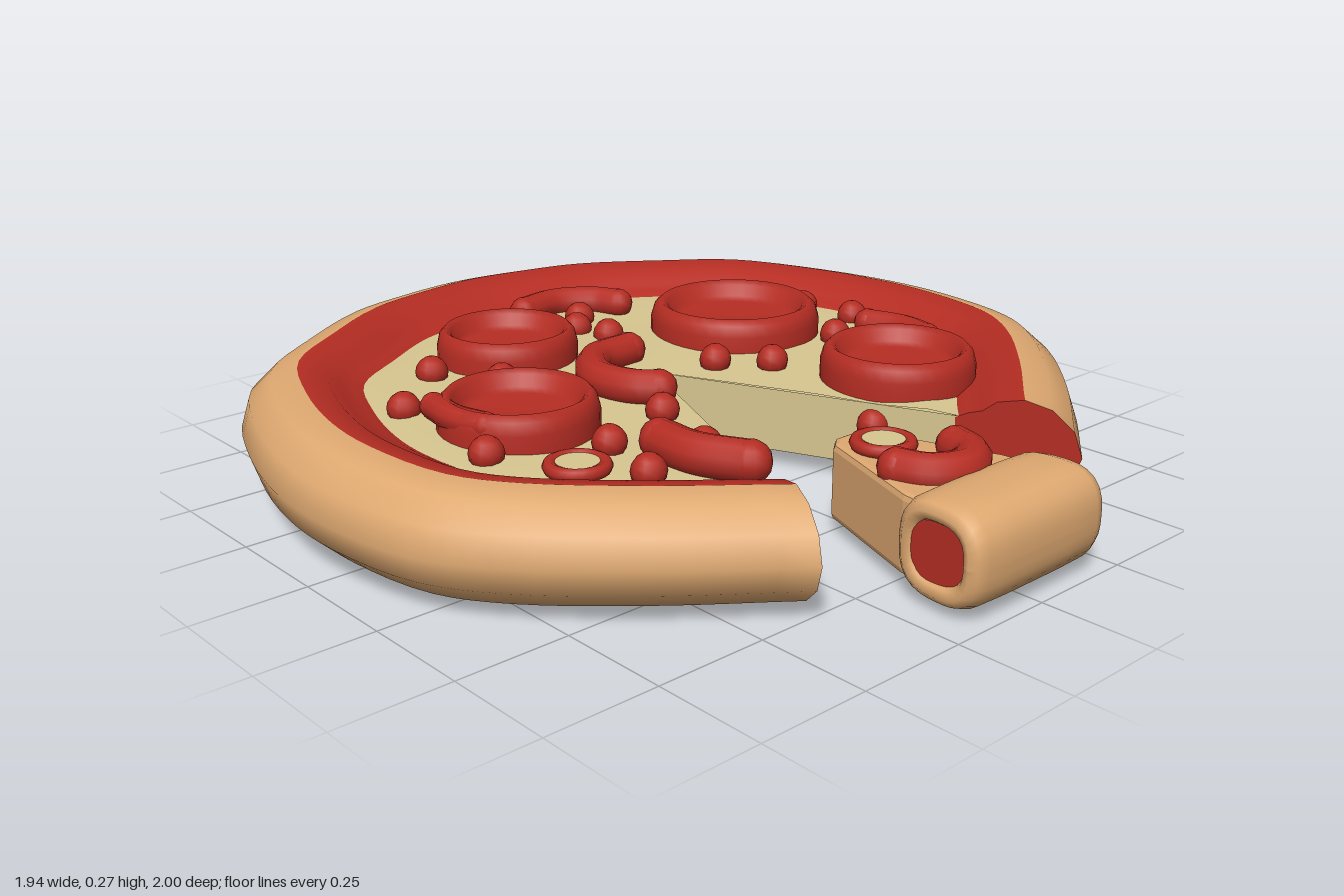
import * as THREE from 'three';

export function createModel() {
  const mat = (name, color) => {
    const m = new THREE.MeshStandardMaterial({ color, side: THREE.DoubleSide });
    m.name = name;
    return m;
  };
  const dough = mat('baked dough', 0xdfa971);
  const red = mat('tomato red', 0xb52d23);
  const cheese = mat('cheese', 0xd8c791);

  const model = new THREE.Group();
  model.name = 'pizza';
  const add = (name, geo, material, parent = model) => {
    const mesh = new THREE.Mesh(geo, material);
    mesh.name = name;
    parent.add(mesh);
    return mesh;
  };
  const group = (name) => {
    const g = new THREE.Group();
    g.name = name;
    model.add(g);
    return g;
  };

  // Outer outline, from the right cut round the back to the left cut
  const half = [[0.4, 0.8], [0.64, 0.61], [0.84, 0.41], [0.93, 0.26], [0.97, 0.02], [0.96, -0.17],
    [0.9, -0.4], [0.79, -0.63], [0.61, -0.78], [0.38, -0.925], [0.2, -0.975]];
  const outline = [...half, [0, -1], ...half.slice().reverse().map(([x, z]) => [-x, z])];
  const apexZ = -0.12;
  const path = new THREE.CatmullRomCurve3(
    outline.map(([x, z]) => new THREE.Vector3(x, 0, z - apexZ)), false, 'centripetal').getPoints(88);

  // Place a profile point: d is the distance in from the outline, towards the wedge tip
  const place = (p, d, y) => {
    const len = p.length();
    const k = Math.max(0, len - d) / len;
    const squash = 0.93 - 0.08 * (p.z + apexZ);
    return [p.x * k, 0.135 + (y - 0.135) * squash, p.z * k + apexZ];
  };

  // Sweep a profile along the outline; slots gives the material of each strip
  const sweep = (profile, slots) => {
    const pos = [], index = [], n = profile.length;
    for (const p of path) for (const [d, y] of profile) pos.push(...place(p, d, y));
    const geo = new THREE.BufferGeometry();
    for (let j = 0; j < n - 1; j++) {
      const start = index.length;
      for (let i = 0; i < path.length - 1; i++) {
        const a = i * n + j, b = a + n;
        index.push(a, b, a + 1, b, b + 1, a + 1);
      }
      geo.addGroup(start, index.length - start, slots ? slots[j] : 0);
    }
    geo.setAttribute('position', new THREE.Float32BufferAttribute(pos, 3));
    geo.setIndex(index);
    geo.computeVertexNormals();
    return geo;
  };

  // Flat cut face standing on one side of the missing wedge
  const cutFace = (p, profile) => {
    const geo = new THREE.ShapeGeometry(new THREE.Shape(profile.map(([d, y]) => new THREE.Vector2(d, y))));
    const a = geo.attributes.position;
    for (let i = 0; i < a.count; i++) a.setXYZ(i, ...place(p, a.getX(i), a.getY(i)));
    geo.computeVertexNormals();
    return geo;
  };

  // Crust with tomato sauce on its inner face
  const crust = [[0.27, 0.025], [0.23, 0.04], [0.18, 0.02], [0.13, 0.006], [0.07, 0.02], [0.02, 0.07],
    [0, 0.135], [0.02, 0.2], [0.07, 0.248], [0.13, 0.265], [0.19, 0.25], [0.22, 0.222], [0.25, 0.212], [0.28, 0.195]];
  add('crust', sweep(crust, [1, 1, 1, 0, 0, 0, 0, 0, 0, 1, 1, 1, 1]), [dough, red]);

  // Cheese top, base and cut walls
  const full = 9;
  add('base', sweep([[full, 0.03], [0.25, 0.03]]), cheese);
  add('cheeseTop', sweep([[0.25, 0.198], [0.34, 0.206], [0.46, 0.199], [0.6, 0.204], [full, 0.2]]), cheese);
  for (const p of [path[0], path[path.length - 1]]) {
    const len = p.length();
    add('cheeseCut', cutFace(p, [[0.26, 0.03], [len, 0.03], [len, 0.2], [0.26, 0.2]]), cheese);
    add('crustCut', cutFace(p, crust), red);
  }

  // Dished sausage discs: x, z, radius
  const discs = group('sausageDiscs');
  for (const [x, z, r] of [[-0.196, -0.43, 0.168], [0.37, -0.235, 0.212], [-0.46, -0.03, 0.175], [0.39, 0.29, 0.18]]) {
    const prof = [[1, 0.19], [1, 0.235], [0.96, 0.262], [0.88, 0.276], [0.8, 0.266], [0.73, 0.24], [0.66, 0.23], [0, 0.228]];
    add('sausageDisc', new THREE.LatheGeometry(prof.map(([k, y]) => new THREE.Vector2(k * r, y)), 36), red, discs)
      .position.set(x, 0, z);
  }

  // Curved pepper strips with rounded ends
  const strips = group('pepperStrips');
  const strip = (points, r, y) => {
    const curve = new THREE.CatmullRomCurve3(points.map(([x, z]) => new THREE.Vector3(x, y, z)));
    add('pepperStrip', new THREE.TubeGeometry(curve, 20, r, 10), red, strips);
    for (const t of [0, 1]) {
      add('pepperEnd', new THREE.SphereGeometry(r, 12, 8), red, strips).position.copy(curve.getPoint(t));
    }
  };
  strip([[0.01, -0.64], [0.12, -0.655], [0.21, -0.6], [0.24, -0.54]], 0.038, 0.225);
  strip([[0, -0.215], [-0.11, -0.2], [-0.185, -0.1], [-0.17, 0], [-0.13, 0.045]], 0.042, 0.225);
  strip([[0.59, 0.02], [0.615, 0.11], [0.6, 0.2]], 0.036, 0.225);
  strip([[-0.35, 0.3], [-0.35, 0.4], [-0.3, 0.51]], 0.045, 0.23);
  strip([[-0.6, -0.14], [-0.61, -0.05], [-0.59, 0.035]], 0.03, 0.245);
  strip([[-0.085, 0.7], [-0.06, 0.76], [0.005, 0.79], [0.07, 0.76], [0.095, 0.7]], 0.042, 0.215);

  // Ring slices with a pale middle
  for (const [x, z] of [[-0.54, 0.27], [0, 0.59]]) {
    const ring = group('ringSlice');
    ring.position.set(x, 0.215, z);
    add('ringRim', new THREE.TorusGeometry(0.056, 0.015, 8, 24).rotateX(Math.PI / 2), red, ring);
    add('ringMiddle', new THREE.CylinderGeometry(0.054, 0.054, 0.02, 24), cheese, ring);
  }

  // Small tomato bits, on the top and poking out of the cut walls
  const bits = group('tomatoBits');
  const bit = (x, z, y = 0.212) =>
    add('tomatoBit', new THREE.SphereGeometry(0.038, 10, 8), red, bits).position.set(x, y, z);
  for (const [x, z] of [[-0.42, -0.42], [-0.33, -0.27], [-0.605, -0.25], [-0.63, 0.09], [-0.195, 0.13],
    [-0.405, 0.205], [-0.45, 0.38], [-0.27, 0.345], [0.05, -0.475], [0.115, -0.545], [0.075, -0.38],
    [0.62, -0.235], [0.645, -0.085], [0.49, 0], [0.225, 0.045], [0.13, -0.05]]) bit(x, z);
  bit(-0.22, 0.38, 0.14);
  bit(0.22, 0.37, 0.14);
  bit(-0.135, 0.15, 0.15);

  // Separate slice: tapered body
  const slice = group('slice');
  const wedge = new THREE.Shape([[-0.025, 0.495], [0.025, 0.495], [0.05, 0.515], [0.145, 0.78], [0.16, 0.92],
    [-0.16, 0.92], [-0.145, 0.78], [-0.05, 0.515]].map(([x, z]) => new THREE.Vector2(x, z)));
  const body = new THREE.ExtrudeGeometry(wedge, {
    depth: 0.14, bevelEnabled: true, bevelSize: 0.012, bevelThickness: 0.015, bevelSegments: 2 });
  body.rotateX(Math.PI / 2).translate(0, 0.19, 0);
  add('sliceBody', body, dough, slice);

  // Slice crust: a roll with hollow red ends, widening towards the front
  const side = [[0.058, 0.175], [0.068, 0.19], [0.085, 0.197], [0.1, 0.185], [0.108, 0.16], [0.11, 0.08]];
  const roll = [...side.map(([r, x]) => [r, -x]), ...side.slice().reverse()];
  const rollGeo = new THREE.LatheGeometry(roll.map(([r, x]) => new THREE.Vector2(r, x)), 32).rotateZ(-Math.PI / 2);
  const rp = rollGeo.attributes.position;
  for (let i = 0; i < rp.count; i++) {
    // flatten the round section slightly into a rounded square
    const y = rp.getY(i), z = rp.getZ(i), r = Math.hypot(y, z);
    const k = r / Math.pow(Math.abs(y) ** 2.8 + Math.abs(z) ** 2.8, 1 / 2.8);
    rp.setXYZ(i, rp.getX(i) * (1 + z * 0.4), y * k * 0.97, z * k);
  }
  rollGeo.computeVertexNormals();
  add('sliceCrust', rollGeo, dough, slice).position.set(0, 0.125, 0.89);
  for (const s of [-1, 1]) {
    const end = add('sliceCrustEnd', new THREE.CircleGeometry(0.07, 24).rotateY(s * Math.PI / 2), red, slice);
    end.position.set(s * 0.183, 0.125, 0.89);
  }
  return model;
}
